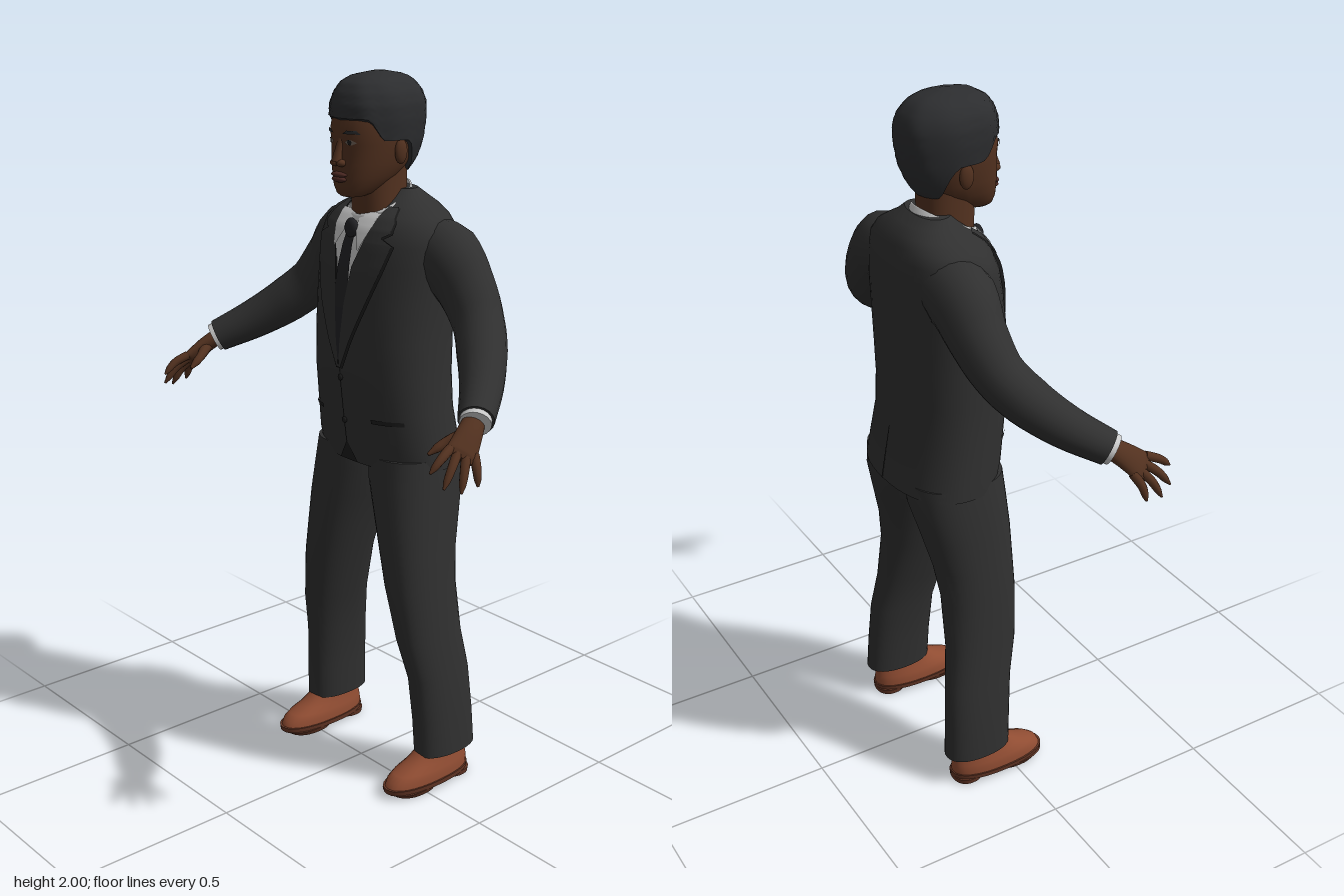
import * as THREE from 'three';

const V = (a) => new THREE.Vector3(...a);
const mat = (name, color, side = THREE.FrontSide) => new THREE.MeshStandardMaterial({ name, color, side });

// Skin a list of closed point rings, with optional flat end caps
function loft(rings, caps = true) {
  const n = rings[0].length, pos = [], idx = [];
  rings.forEach((r) => r.forEach((p) => pos.push(p.x, p.y, p.z)));
  for (let i = 0; i < rings.length - 1; i++) for (let j = 0; j < n; j++) {
    const a = i * n + j, b = i * n + (j + 1) % n;
    idx.push(a, a + n, b, b, a + n, b + n);
  }
  if (caps) [rings[0], rings[rings.length - 1]].forEach((r, end) => {
    const base = pos.length / 3, c = new THREE.Vector3();
    r.forEach((p) => { pos.push(p.x, p.y, p.z); c.addScaledVector(p, 1 / n); });
    pos.push(c.x, c.y, c.z);
    for (let j = 0; j < n; j++) {
      const a = base + j, b = base + (j + 1) % n;
      if (end) idx.push(base + n, b, a); else idx.push(base + n, a, b);
    }
  });
  return build(pos, idx);
}

function build(pos, idx) {
  const g = new THREE.BufferGeometry();
  g.setAttribute('position', new THREE.Float32BufferAttribute(pos, 3));
  g.setIndex(idx);
  g.computeVertexNormals();
  return g;
}

// Rows are [y, centreX, halfWidth, frontZ, backZ]; sections are soft superellipses
const POW = 2.3;
const soft = (v) => Math.sign(v) * Math.abs(v) ** (2 / POW);
function rowPoint([y, cx, rx, zf, zb], t) {
  return new THREE.Vector3(cx + rx * soft(Math.cos(t)), y, (zf + zb) / 2 + (zf - zb) / 2 * soft(Math.sin(t)));
}
function rowAt(rows, y) {
  let i = 0;
  while (i < rows.length - 2 && y > rows[i + 1][0]) i++;
  const k = THREE.MathUtils.clamp((y - rows[i][0]) / (rows[i + 1][0] - rows[i][0]), 0, 1);
  return rows[i].map((v, c) => (c ? v + (rows[i + 1][c] - v) * k : y));
}
const circle = (n, f) => Array.from({ length: n }, (_, j) => f(j / n * Math.PI * 2));
const body = (rows, n = 48) => loft(rows.map((r) => circle(n, (t) => rowPoint(r, t))));

// Tapered tube through points; radii are [wide, thin] and "wide" is the broad direction
function limb(pts, radii, wide = [0, 0, 1], n = 20, steps = 24) {
  const curve = new THREE.CatmullRomCurve3(pts.map(V)), rings = [];
  for (let i = 0; i <= steps; i++) {
    const k = i / steps, c = curve.getPoint(k), t = curve.getTangent(k);
    const u = V(wide).addScaledVector(t, -V(wide).dot(t)).normalize(), v = u.clone().cross(t);
    const f = k * (radii.length - 1), a = Math.min(Math.floor(f), radii.length - 2);
    const r = [0, 1].map((q) => THREE.MathUtils.lerp(radii[a][q], radii[a + 1][q], f - a));
    rings.push(circle(n, (s) => c.clone().addScaledVector(u, r[0] * Math.cos(s)).addScaledVector(v, r[1] * Math.sin(s))));
  }
  return loft(rings);
}

// Thin panel lying on a row body; outline is [y, x0, x1] from top to bottom
function panel(rows, outline, off = 0.005, dir = 1) {
  const pos = [], idx = [], nx = 6, ny = 5, lines = [];
  outline.slice(0, -1).forEach((a, i) => {
    for (let s = 0; s < ny; s++) lines.push(a.map((v, c) => v + (outline[i + 1][c] - v) * s / ny));
  });
  lines.push(outline[outline.length - 1]);
  lines.forEach(([y, x0, x1], i) => {
    const [, , rx, zf, zb] = rowAt(rows, y);
    for (let j = 0; j <= nx; j++) {
      const x = x0 + (x1 - x0) * j / nx;
      const h = Math.max(0, 1 - Math.abs(x / rx) ** POW) ** (1 / POW);
      pos.push(x, y, (zf + zb) / 2 + dir * ((zf - zb) / 2 * h + off));
      if (i && j) {
        const d = i * (nx + 1) + j, b = d - nx - 1;
        idx.push(b - 1, d - 1, b, b, d - 1, d);
      }
    }
  });
  return build(pos, idx);
}

function mirror(geo) {
  const g = geo.clone().scale(-1, 1, 1), ix = g.index.array;
  for (let i = 0; i < ix.length; i += 3) [ix[i], ix[i + 1]] = [ix[i + 1], ix[i]];
  g.computeVertexNormals();
  return g;
}

export function createModel() {
  const model = new THREE.Group();
  const suit = mat('suit cloth', 0x303030, THREE.DoubleSide), seam = mat('dark seam', 0x1c1c1c);
  const shirt = mat('white shirt', 0xc9c9c9, THREE.DoubleSide), tie = mat('black tie', 0x222225);
  const skin = mat('skin', 0x52311f), lip = mat('lips', 0x4a2822), eye = mat('eyes', 0x75655a);
  const hair = mat('hair', 0x2c2d2f, THREE.DoubleSide);
  const leather = mat('shoe leather', 0x8f4c32), sole = mat('shoe sole', 0x643625);
  const add = (name, geo, m) => {
    const mesh = new THREE.Mesh(geo, m);
    mesh.name = name;
    model.add(mesh);
  };
  const both = (name, geo, m) => { add(name + 'Left', geo, m); add(name + 'Right', mirror(geo), m); };
  const ball = (x, y, z, sx, sy, sz) => new THREE.SphereGeometry(1, 20, 14).scale(sx, sy, sz).translate(x, y, z);

  // Jacket
  const torso = [
    [0.94, 0, 0.225, 0.035, -0.265], [1.0, 0, 0.222, 0.05, -0.255], [1.1, 0, 0.212, 0.063, -0.238],
    [1.2, 0, 0.208, 0.074, -0.235], [1.3, 0, 0.205, 0.076, -0.24], [1.4, 0, 0.205, 0.07, -0.244],
    [1.5, 0, 0.212, 0.055, -0.245], [1.56, 0, 0.215, 0.04, -0.24], [1.6, 0, 0.208, 0.022, -0.234],
    [1.63, 0, 0.18, 0, -0.224], [1.655, 0, 0.135, -0.03, -0.21], [1.675, 0, 0.1, -0.05, -0.188],
    [1.695, 0, 0.08, -0.07, -0.16]];
  add('jacket', body(torso), suit);
  both('sleeve', limb(
    [[0.11, 1.545, -0.13], [0.2, 1.52, -0.13], [0.27, 1.455, -0.13], [0.34, 1.375, -0.11], [0.4, 1.315, -0.065], [0.47, 1.255, 0.005], [0.54, 1.202, 0.092]],
    [[0.085, 0.085], [0.09, 0.1], [0.077, 0.083], [0.068, 0.07], [0.066, 0.067], [0.057, 0.058], [0.047, 0.047]]), suit);
  const lapel = [[1.655, 0.075, 0.1], [1.62, 0.07, 0.125], [1.595, 0.063, 0.13], [1.582, 0.06, 0.108],
    [1.565, 0.056, 0.143], [1.5, 0.032, 0.125], [1.4, 0.018, 0.088], [1.22, 0, 0.008]];
  both('lapelEdge', panel(torso, lapel.map(([y, a, b]) => [y - 0.003, a, b + 0.005]), 0.005), seam);
  both('lapel', panel(torso, lapel, 0.009), suit);
  both('pocketSeam', panel(torso, [[1.087, 0.1, 0.182], [1.075, 0.1, 0.182]], 0.004), seam);
  add('frontSeam', panel(torso, [[1.22, -0.002, 0.002], [1.0, -0.002, 0.002], [0.942, -0.045, 0.03]], 0.003), seam);
  add('backVent', panel(torso, [[1.1, 0.002, -0.002], [0.942, 0.004, -0.004]], 0.003, -1), seam);
  [1.19, 1.065].forEach((y) => add('button', ball(0, y, rowAt(torso, y)[3] + 0.003, 0.009, 0.009, 0.005), seam));

  // Shirt, collar and tie
  add('shirtFront', panel(torso, [[1.65, -0.075, 0.075], [1.55, -0.054, 0.054], [1.5, -0.032, 0.032], [1.3, -0.008, 0.008]], 0.004), shirt);
  const collarRing = (r, y, tilt) => circle(40, (t) =>
    new THREE.Vector3(r * Math.cos(t), y - tilt * Math.sin(t), -0.067 + r * 1.03 * Math.sin(t)));
  add('shirtCollar', loft([collarRing(0.092, 1.635, 0.05), collarRing(0.083, 1.668, 0.043), collarRing(0.078, 1.671, 0.04)], false), shirt);
  both('collarPoint', panel(torso, [[1.64, 0.01, 0.075], [1.6, 0.018, 0.07], [1.545, 0.045, 0.05]], 0.013), shirt);
  add('tie', panel(torso, [[1.58, -0.017, 0.017], [1.45, -0.026, 0.026], [1.24, -0.006, 0.006]], 0.008), tie);
  add('tieKnot', ball(0, 1.595, 0.034, 0.024, 0.028, 0.014), tie);

  // Trousers
  both('trouserLeg', body([
    [0.095, 0.241, 0.057, -0.008, -0.21], [0.2, 0.236, 0.057, -0.004, -0.205], [0.33, 0.225, 0.056, 0.005, -0.198],
    [0.45, 0.204, 0.063, 0.03, -0.182], [0.6, 0.176, 0.077, 0.042, -0.177], [0.7, 0.157, 0.086, 0.042, -0.19],
    [0.8, 0.138, 0.096, 0.042, -0.215], [0.9, 0.116, 0.11, 0.037, -0.24], [0.97, 0.108, 0.11, 0.03, -0.24]], 32), suit);

  // Shoes
  const shoe = (y, rx, zf, zb) => [y, 0.238, rx, zf, zb];
  both('shoeUpper', body([shoe(0.025, 0.058, 0.106, -0.187), shoe(0.045, 0.057, 0.097, -0.188), shoe(0.06, 0.053, 0.075, -0.186),
    shoe(0.075, 0.047, 0.035, -0.183), shoe(0.095, 0.042, 0.0, -0.178), shoe(0.12, 0.038, -0.025, -0.172)], 32), leather);
  both('shoeWelt', body([shoe(0.014, 0.06, 0.109, -0.19), shoe(0.029, 0.062, 0.111, -0.191)], 32), sole);
  both('shoeSole', body([shoe(0, 0.052, 0.085, -0.06), shoe(0.016, 0.059, 0.107, -0.07)], 32), sole);
  both('shoeHeel', body([shoe(0, 0.046, -0.1, -0.188), shoe(0.016, 0.049, -0.095, -0.19)], 32), sole);

  // Hands
  const spread = [0.42, -0.34, -0.84];
  both('shirtCuff', limb([[0.53, 1.21, 0.08], [0.547, 1.196, 0.102]], [[0.041, 0.041], [0.041, 0.041]], spread, 20, 2), shirt);
  both('palm', limb([[0.535, 1.205, 0.09], [0.555, 1.176, 0.13], [0.572, 1.142, 0.17], [0.577, 1.132, 0.182]],
    [[0.028, 0.024], [0.035, 0.021], [0.043, 0.016], [0.037, 0.009]], spread), skin);
  const tips = [[0.565, 1.11, 0.27], [0.595, 1.073, 0.252], [0.615, 1.058, 0.212], [0.62, 1.065, 0.16]];
  const finger = [[0.0125, 0.0125], [0.0125, 0.0125], [0.012, 0.012], [0.011, 0.011], [0.0095, 0.0095], [0.003, 0.003]];
  tips.forEach((tip, i) => {
    const root = V([0.57, 1.145, 0.167]).addScaledVector(V(spread), (i - 1.5) * 0.022);
    const mid = root.clone().lerp(V(tip), 0.5).add(V([0.005, 0.005, 0.003]));
    both('finger', limb([root.toArray(), mid.toArray(), tip], finger, spread, 10, 12), skin);
  });
  both('thumb', limb([[0.548, 1.178, 0.13], [0.52, 1.158, 0.172], [0.504, 1.132, 0.22]],
    [[0.02, 0.018], [0.016, 0.016], [0.014, 0.013], [0.012, 0.012], [0.004, 0.004]], spread, 10, 12), skin);

  // Neck and head
  add('neck', body([[1.58, 0, 0.074, 0.008, -0.145], [1.68, 0, 0.066, 0.012, -0.138], [1.77, 0, 0.064, 0.01, -0.14]], 32), skin);
  const head = [
    [1.682, 0, 0.03, 0.06, 0.0], [1.69, 0, 0.044, 0.07, -0.03], [1.71, 0, 0.059, 0.076, -0.07],
    [1.735, 0, 0.072, 0.077, -0.11], [1.77, 0, 0.084, 0.077, -0.145], [1.82, 0, 0.092, 0.074, -0.165],
    [1.855, 0, 0.094, 0.078, -0.172], [1.9, 0, 0.092, 0.068, -0.17], [1.95, 0, 0.075, 0.04, -0.15], [1.98, 0, 0.04, 0, -0.11]];
  add('head', body(head), skin);
  both('ear', ball(0.095, 1.8, -0.055, 0.011, 0.033, 0.02), skin);
  add('noseBridge', limb([[0, 1.84, 0.066], [0, 1.805, 0.078], [0, 1.775, 0.086]], [[0.01, 0.008], [0.011, 0.01], [0.015, 0.014]], [1, 0, 0], 14, 8), skin);
  both('nostril', ball(0.012, 1.773, 0.08, 0.013, 0.01, 0.014), skin);
  add('upperLip', ball(0, 1.742, 0.077, 0.029, 0.0075, 0.013), lip);
  add('lowerLip', ball(0, 1.73, 0.077, 0.026, 0.0085, 0.013), lip);
  both('eye', panel(head, [[1.834, 0.031, 0.041], [1.827, 0.021, 0.054], [1.821, 0.03, 0.043]], 0.003), eye);
  both('iris', panel(head, [[1.834, 0.033, 0.041], [1.828, 0.031, 0.043], [1.821, 0.034, 0.04]], 0.005), seam);
  both('eyebrow', panel(head, [[1.858, 0.03, 0.055], [1.849, 0.018, 0.063]], 0.004), hair);

  // Short hair cap with a hairline that drops towards the nape
  const cap = [
    [1.73, 0, 0.066, 0.05, -0.135], [1.77, 0, 0.088, 0.06, -0.165], [1.82, 0, 0.1, 0.072, -0.186],
    [1.88, 0, 0.106, 0.079, -0.195], [1.92, 0, 0.105, 0.077, -0.194], [1.95, 0, 0.096, 0.066, -0.182],
    [1.975, 0, 0.078, 0.048, -0.16], [1.99, 0, 0.055, 0.02, -0.135], [2, 0, 0.015, -0.04, -0.08]];
  const smooth = THREE.MathUtils.smoothstep;
  const rings = [];
  for (let i = 0; i <= 20; i++) rings.push(circle(64, (t) => {
    const s = Math.sin(t), low = 1.83 + 0.058 * smooth(s, 0.35, 0.75) - 0.09 * smooth(-s, 0.05, 0.7);
    const k = 1 - (1 - i / 20) ** 1.5, p = rowPoint(rowAt(cap, low + (2 - low) * k), t);
    const lump = 1 + 0.018 * Math.sin(t * 13 + i * 1.7) * Math.sin(i * 1.9 + t * 5);
    p.x *= lump;
    p.z = -0.058 + (p.z + 0.058) * lump;
    return p;
  }));
  add('hair', loft(rings), hair);
  return model;
}
